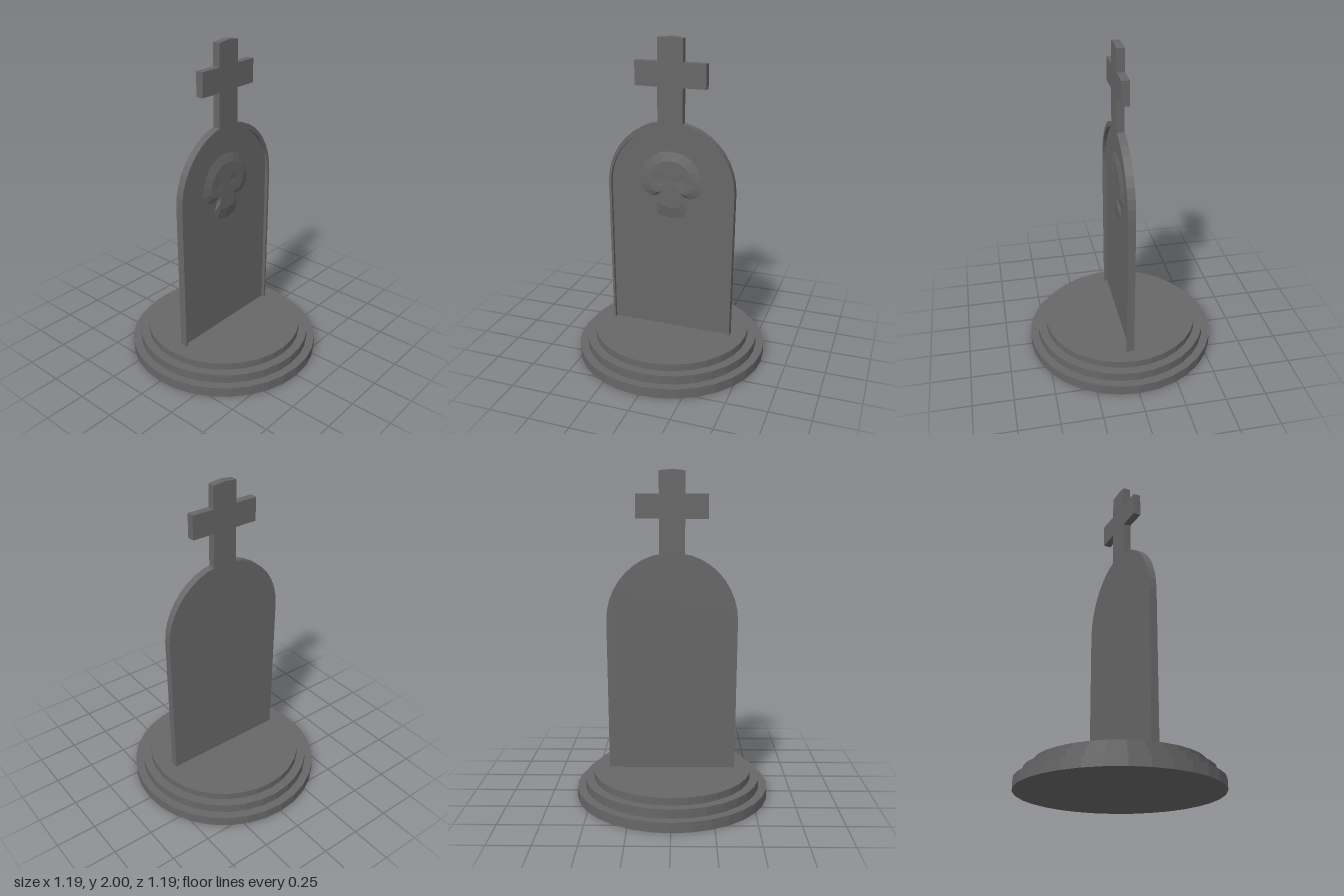
import * as THREE from 'three';

const stone = new THREE.MeshStandardMaterial({ color: 0x676767, flatShading: true });
const BASE_TOP = 0.155, SPRING = 1.1, ARCH = 20;

function add(group, name, geometry) {
  const mesh = new THREE.Mesh(geometry, stone);
  mesh.name = name;
  group.add(mesh);
  return mesh;
}

// Points of an arch from its right foot over the top to its left foot
function archPoints(foot, radius, rise) {
  const pts = [new THREE.Vector2(foot, BASE_TOP)];
  for (let i = 0; i <= ARCH; i++) {
    const a = (i / ARCH) * Math.PI;
    pts.push(new THREE.Vector2(radius * Math.cos(a), SPRING + rise * Math.sin(a)));
  }
  pts.push(new THREE.Vector2(-foot, BASE_TOP));
  return pts;
}

// Outer silhouette: arch with a cross standing on its crown
function silhouette() {
  const arch = archPoints(0.392, 0.4, 0.41);
  const right = arch.filter(p => p.x > 0.09);
  const half = [[0.078, 1.5], [0.078, 1.712], [0.218, 1.712], [0.218, 1.857], [0.078, 1.857], [0.078, 1.992]]
    .map(p => new THREE.Vector2(...p));
  const mirror = list => list.map(p => new THREE.Vector2(-p.x, p.y)).reverse();
  return [...right, ...half, new THREE.Vector2(0, 2), ...mirror(half), ...mirror(right)];
}

// Extrude a shape so that its face looks along +x, starting at x0
function slab(group, name, points, x0, depth) {
  const geometry = new THREE.ExtrudeGeometry(new THREE.Shape(points), { depth, bevelEnabled: false });
  const mesh = add(group, name, geometry);
  mesh.rotation.y = Math.PI / 2;
  mesh.position.x = x0;
}

// Low skull relief: a bevelled rim around a flat face with shallow eye hollows
function skullGeometry() {
  const half = [[0, 0.19], [0.07, 0.18], [0.13, 0.145], [0.175, 0.09], [0.2, 0.02], [0.198, -0.04],
    [0.17, -0.08], [0.125, -0.1], [0.085, -0.09], [0.085, -0.115], [0.102, -0.165], [0.085, -0.215], [0, -0.235]];
  const outline = [...half, ...half.slice(1, -1).reverse().map(([u, v]) => [-u, v])];
  const n = outline.length, rings = [1, 0.7, 0.55, 0.4, 0.25, 0];
  const pos = [], index = [];
  rings.forEach((s, r) => {
    const height = 0.014 * Math.min(1, (1 - s) / 0.3);
    for (const [u, v] of outline) {
      const eye = Math.hypot(Math.abs(u * s) - 0.07, v * s - 0.01) / 0.045;
      const hollow = 0.003 * Math.max(0, 1 - eye * eye);
      pos.push(height - hollow, v * s, -u * s);
    }
    if (r === 0) return;
    for (let i = 0; i < n; i++) {
      const j = (i + 1) % n, a = (r - 1) * n, b = r * n;
      index.push(a + i, a + j, b + i, a + j, b + j, b + i);
    }
  });
  // Wind every face towards +x
  for (let k = 0; k < index.length; k += 3) {
    const [a, b, c] = [index[k] * 3, index[k + 1] * 3, index[k + 2] * 3];
    const area = (pos[b + 1] - pos[a + 1]) * (pos[c + 2] - pos[a + 2]) - (pos[b + 2] - pos[a + 2]) * (pos[c + 1] - pos[a + 1]);
    if (area < 0) [index[k + 1], index[k + 2]] = [index[k + 2], index[k + 1]];
  }
  const geometry = new THREE.BufferGeometry();
  geometry.setAttribute('position', new THREE.Float32BufferAttribute(pos, 3));
  geometry.setIndex(index);
  geometry.computeVertexNormals();
  return geometry;
}

export function createModel() {
  const model = new THREE.Group();
  model.name = 'gravestone';

  // Three stepped round plinths
  [[0.595, 0, 0.062], [0.544, 0.062, 0.117], [0.49, 0.117, 0.162]].forEach(([r, y0, y1], i) => {
    add(model, `baseStep${i + 1}`, new THREE.CylinderGeometry(r, r, y1 - y0, 32)).position.y = (y0 + y1) / 2;
  });

  // Thin stone with the cross, then the raised border and cross face
  const outer = silhouette();
  slab(model, 'headstone', outer, -0.011, 0.026);
  slab(model, 'borderAndCross', [...outer, ...archPoints(0.379, 0.384, 0.376).reverse()], 0.015, 0.021);

  // Skull carved on the recessed face, with a thin ridge at each eye
  add(model, 'skullRelief', skullGeometry()).position.set(0.015, 1.135, 0);
  [[1.19, 0.073, -0.69], [1.132, -0.045, 0.29]].forEach(([y, z, tilt]) => {
    const ridge = add(model, 'eyeRidge', new THREE.BoxGeometry(0.008, 0.004, 0.052));
    ridge.position.set(0.026, y, z);
    ridge.rotation.x = tilt;
  });

  return model;
}
